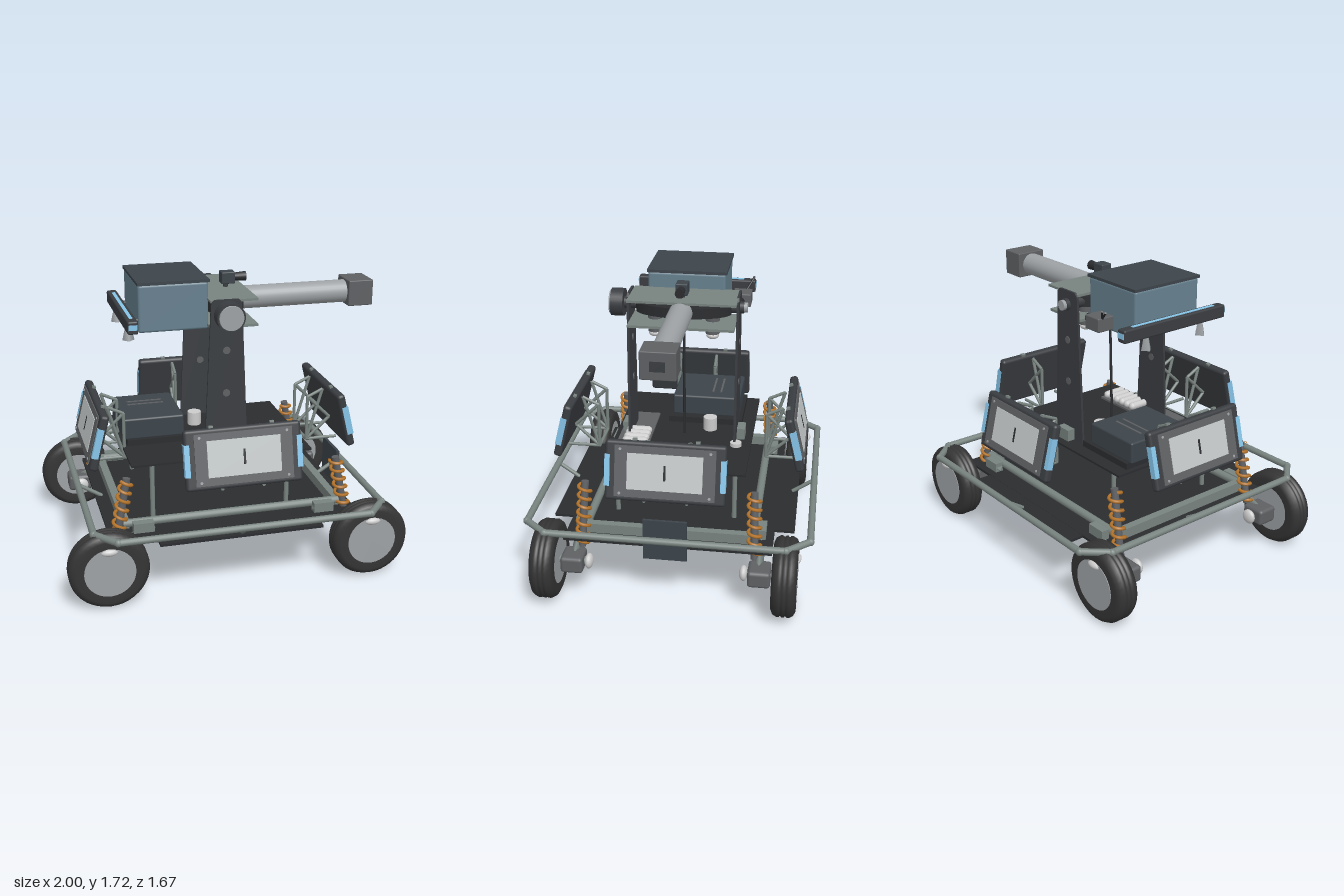
import * as THREE from 'three';
import { RoundedBoxGeometry } from 'three/addons/geometries/RoundedBoxGeometry.js';

const mat = (color) => new THREE.MeshStandardMaterial({ color });
const M = {
  black: mat(0x2b2c2f), dark: mat(0x3a3d41), slate: mat(0x3c444a), grey: mat(0x5e6063),
  steel: mat(0x78837f), silver: mat(0x9da1a4), white: mat(0xd0d0cc), screen: mat(0xc3c8c8),
  blue: mat(0x66808e), cyan: mat(0x86c4e8), copper: mat(0xb5742a), tyre: mat(0x343434),
};
const V = (x, y, z) => new THREE.Vector3(x, y, z);

function add(parent, name, geo, material, x = 0, y = 0, z = 0) {
  const m = new THREE.Mesh(geo, material);
  m.name = name;
  m.position.set(x, y, z);
  parent.add(m);
  return m;
}
// Box given by its low and high corners
function box(parent, name, material, [x0, x1], [y0, y1], [z0, z1], round = 0) {
  const s = [x1 - x0, y1 - y0, z1 - z0];
  const geo = round ? new RoundedBoxGeometry(...s, 2, round) : new THREE.BoxGeometry(...s);
  return add(parent, name, geo, material, (x0 + x1) / 2, (y0 + y1) / 2, (z0 + z1) / 2);
}
// Straight cylinder between two points
function rod(parent, name, material, a, b, r, r2 = r, sides = 14) {
  const d = b.clone().sub(a);
  const m = add(parent, name, new THREE.CylinderGeometry(r2, r, d.length(), sides), material);
  m.position.copy(a).add(b).multiplyScalar(0.5);
  m.quaternion.setFromUnitVectors(V(0, 1, 0), d.normalize());
  return m;
}

function makeWheel() {
  const g = new THREE.Group();
  g.name = 'wheel';
  const p = [[0.13, -0.065], [0.19, -0.07], [0.215, -0.058], [0.228, -0.035], [0.228, -0.022], [0.222, -0.018],
    [0.222, -0.01], [0.228, -0.006], [0.228, 0.006], [0.222, 0.01], [0.222, 0.018], [0.228, 0.022],
    [0.228, 0.035], [0.215, 0.058], [0.19, 0.07], [0.13, 0.065]].map((q) => new THREE.Vector2(...q));
  add(g, 'tyre', new THREE.LatheGeometry(p, 40), M.tyre).rotation.x = Math.PI / 2;
  rod(g, 'hub', M.silver, V(0, 0, -0.066), V(0, 0, 0.07), 0.145, 0.145, 32);
  // Drive motor with a pale end cap on the inner side
  box(g, 'motor', M.grey, [-0.075, 0.075], [-0.05, 0.05], [-0.21, -0.08], 0.02);
  rod(g, 'axle', M.steel, V(0, 0, -0.24), V(0, 0, -0.06), 0.025);
  const cap = new THREE.SphereGeometry(0.045, 16, 10);
  add(g, 'motorCap', cap, M.white, 0, 0, -0.235).scale.z = 0.55;
  add(g, 'hubKnob', cap, M.white, 0, 0.125, 0.06).scale.set(1.1, 0.5, 0.6);
  return g;
}

// Spring coil wound around a damper
function makeSpring(a, b) {
  const g = new THREE.Group();
  g.name = 'suspensionSpring';
  rod(g, 'damper', M.grey, a, b, 0.022);
  const len = a.distanceTo(b), pts = [];
  for (let i = 0; i <= 112; i++) {
    const t = i / 112, w = t * 7 * Math.PI * 2;
    pts.push(V(0.036 * Math.cos(w), (t - 0.5) * len * 0.92, 0.036 * Math.sin(w)));
  }
  const coil = add(g, 'coil', new THREE.TubeGeometry(new THREE.CatmullRomCurve3(pts), 168, 0.01, 6), M.copper);
  coil.position.copy(a).add(b).multiplyScalar(0.5);
  coil.quaternion.setFromUnitVectors(V(0, 1, 0), b.clone().sub(a).normalize());
  return g;
}

// Tilted display facing +z, with its truss bracket behind
function makeDisplay() {
  const g = new THREE.Group();
  g.name = 'displayPanel';
  const p = new THREE.Group();
  p.name = 'display';
  p.position.y = 0.825;
  p.rotation.x = -0.245;
  g.add(p);
  box(p, 'casing', M.dark, [-0.335, 0.335], [-0.17, 0.17], [-0.025, 0.025], 0.018);
  box(p, 'bezel', M.grey, [-0.28, 0.28], [-0.145, 0.145], [0.02, 0.031]);
  box(p, 'screen', M.screen, [-0.21, 0.21], [-0.1, 0.105], [0.025, 0.035]);
  box(p, 'screenMark', M.black, [-0.006, 0.006], [-0.04, 0.045], [0.03, 0.038]);
  for (const s of [-1, 1]) {
    box(p, 'lightStrip', M.cyan, [s * 0.322 - 0.015, s * 0.322 + 0.015], [-0.09, 0.09], [-0.01, 0.028]);
    box(p, 'topLatch', M.steel, [s * 0.175 - 0.012, s * 0.175 + 0.012], [0.15, 0.182], [-0.015, 0.005]);
    for (const t of [-1, 1]) rod(p, 'screw', M.silver, V(s * 0.25, t * 0.125, 0.028), V(s * 0.25, t * 0.125, 0.034), 0.008);
    const x = s * 0.12, k = [V(x, 0.645, 0.02), V(x, 0.645, -0.175), V(x, 0.92, -0.175), V(x, 0.965, -0.08), V(x, 0.78, -0.03)];
    for (const [i, j] of [[0, 1], [1, 2], [2, 3], [1, 3], [2, 4], [1, 4]]) rod(g, 'bracketBar', M.steel, k[i], k[j], 0.01, 0.01, 8);
  }
  rod(g, 'bracketCrossbar', M.steel, V(-0.12, 0.645, -0.175), V(0.12, 0.645, -0.175), 0.01, 0.01, 8);
  return g;
}

export function createModel() {
  const root = new THREE.Group();
  root.name = 'rover';

  // Chassis plate and inner frame
  box(root, 'chassisPlate', M.black, [-0.74, 0.74], [0.337, 0.352], [-0.6, 0.6]);
  box(root, 'chassisPlateEnds', M.black, [-0.48, 0.48], [0.336, 0.351], [-0.715, 0.715]);
  for (const s of [-1, 1]) {
    rod(root, 'innerRail', M.steel, V(-0.65, 0.39, s * 0.485), V(0.65, 0.39, s * 0.485), 0.024);
    box(root, 'sideBeam', M.steel, [s * 0.637 - 0.023, s * 0.637 + 0.023], [0.35, 0.41], [-0.48, 0.48]);
    rod(root, 'bumperStay', M.steel, V(0, 0.44, s * 0.81), V(0, 0.35, s * 0.68), 0.012);
    rod(root, 'bumperStay', M.steel, V(s * 0.845, 0.44, 0), V(s * 0.7, 0.35, 0), 0.012);
  }

  // Bumper ring with cut corners
  const ring = [[-0.73, 0.81], [0.73, 0.81], [0.845, 0.68], [0.845, -0.68], [0.73, -0.81], [-0.73, -0.81], [-0.845, -0.68], [-0.845, 0.68]]
    .map(([x, z]) => V(x, 0.442, z));
  ring.forEach((a, i) => {
    rod(root, 'bumperRail', M.steel, a, ring[(i + 1) % 8], 0.02);
    add(root, 'bumperJoint', new THREE.SphereGeometry(0.023, 12, 8), M.steel, a.x, a.y, a.z);
  });

  // Wheels, springs and suspension arms at the four corners
  for (const sx of [-1, 1]) for (const sz of [-1, 1]) {
    const w = makeWheel();
    w.position.set(sx * 0.77, 0.23, sz * 0.68);
    if (sz < 0) w.rotation.y = Math.PI;
    root.add(w, makeSpring(V(sx * 0.622, 0.67, sz * 0.485), V(sx * 0.695, 0.28, sz * 0.5)));
    rod(root, 'suspensionArm', M.steel, V(sx * 0.75, 0.26, sz * 0.53), V(sx * 0.48, 0.385, sz * 0.53), 0.025, 0.025, 4);
    box(root, 'armMount', M.steel, [sx * 0.54 - 0.06, sx * 0.54 + 0.06], [0.35, 0.41], [sz * 0.53 - 0.025, sz * 0.53 + 0.025]);
    rod(root, 'deckLeg', M.steel, V(sx * 0.41 - 0.04, 0.35, sz * 0.35), V(sx * 0.41 - 0.04, 0.7, sz * 0.35), 0.014);
  }

  // Displays on all four sides
  for (let i = 0; i < 4; i++) {
    const d = makeDisplay(), a = i * Math.PI / 2, r = i % 2 ? 0.745 : 0.685;
    d.rotation.y = a;
    d.position.set(Math.sin(a) * r, 0, Math.cos(a) * r);
    root.add(d);
  }

  // Raised deck and its equipment
  box(root, 'deck', M.black, [-0.58, 0.5], [0.696, 0.708], [-0.42, 0.415]);
  box(root, 'equipmentBox', M.slate, [-0.57, -0.2], [0.74, 0.87], [-0.32, 0.1], 0.012);
  box(root, 'equipmentBase', M.black, [-0.55, -0.15], [0.705, 0.745], [-0.34, 0.12]);
  for (const z of [-0.2, -0.15]) box(root, 'ventSlot', M.grey, [-0.5, -0.28], [0.868, 0.874], [z, z + 0.012]);
  box(root, 'rollTray', M.grey, [-0.24, 0.35], [0.708, 0.72], [0.19, 0.385]);
  for (let i = 0; i < 6; i++) {
    const x = 0.06 + i * 0.05;
    add(root, 'canister', new THREE.CapsuleGeometry(0.023, 0.11, 4, 12), M.white, x, 0.742, 0.27).rotation.x = Math.PI / 2;
  }
  rod(root, 'deckKnob', M.white, V(-0.08, 0.7, -0.15), V(-0.08, 0.79, -0.15), 0.042);
  rod(root, 'deckCap', M.white, V(0.13, 0.7, -0.33), V(0.13, 0.73, -0.33), 0.035);

  // Side battery plate and low sensor pad
  box(root, 'sidePlate', M.slate, [0.775, 0.793], [0.29, 0.54], [-0.125, 0.125]);
  box(root, 'sensorPad', M.dark, [0.08, 0.25], [0.183, 0.2], [-0.062, 0.062]);

  // Tower plates with bosses
  const plate = new THREE.Shape([[-0.13, 0.7], [0.13, 0.7], [0.09, 1.6], [0.07, 1.62], [-0.07, 1.62], [-0.09, 1.6]].map((q) => new THREE.Vector2(...q)));
  for (const s of [-1, 1]) {
    add(root, 'towerPlate', new THREE.ExtrudeGeometry(plate, { depth: 0.014, bevelEnabled: false }), M.dark, 0, 0, s * 0.32 - 0.007);
    for (const y of [1.07, 1.325]) rod(root, 'towerBoss', M.grey, V(0, y, s * 0.32 - 0.01), V(0, y, s * 0.32 + 0.01), 0.022);
    box(root, 'towerFoot', M.steel, [-0.05, 0.05], [0.71, 0.78], [s * 0.35 - 0.025, s * 0.35 + 0.025]);
    // Hanging motors under the cradle
    rod(root, 'cradleMotor', M.grey, V(0.03, 1.385, s * 0.17), V(0.03, 1.5, s * 0.17), 0.042);
    add(root, 'cradleMotorCap', new THREE.SphereGeometry(0.038, 14, 10), M.white, 0.03, 1.372, s * 0.17).scale.y = 0.6;
  }
  rod(root, 'cable', M.black, V(0.02, 1.45, 0), V(0, 0.7, 0), 0.008);

  // Tilting cradle
  box(root, 'cradleTop', M.steel, [-0.09, 0.19], [1.6, 1.614], [-0.32, 0.31]);
  box(root, 'cradleBottom', M.steel, [-0.09, 0.19], [1.45, 1.465], [-0.31, 0.31]);
  add(root, 'turntable', new THREE.CylinderGeometry(0.28, 0.28, 0.06, 36), M.black, 0.04, 1.54, 0).scale.x = 0.45;
  rod(root, 'trunnion', M.dark, V(0, 1.54, -0.35), V(0, 1.54, 0.37), 0.035);
  rod(root, 'trunnionWheel', M.dark, V(0, 1.54, 0.355), V(0, 1.54, 0.43), 0.082, 0.082, 28);
  rod(root, 'trunnionCap', M.silver, V(0, 1.54, 0.42), V(0, 1.54, 0.44), 0.074, 0.07, 28);
  rod(root, 'rearTrunnionCap', M.silver, V(0, 1.54, -0.37), V(0, 1.54, -0.32), 0.03);

  // Head box with lid
  box(root, 'headBox', M.blue, [-0.485, -0.08], [1.43, 1.705], [-0.23, 0.23], 0.015);
  box(root, 'headLid', M.slate, [-0.49, -0.075], [1.703, 1.72], [-0.238, 0.235]);

  // Long barrel and square end housing
  rod(root, 'barrelMount', M.black, V(0.07, 1.543, 0), V(0.17, 1.543, 0), 0.035);
  rod(root, 'barrel', M.silver, V(0.158, 1.543, 0), V(0.83, 1.543, 0), 0.068, 0.068, 28);
  box(root, 'endHousing', M.grey, [0.82, 0.973], [1.467, 1.622], [-0.097, 0.093], 0.006);
  box(root, 'endWindow', M.dark, [0.96, 0.976], [1.515, 1.57], [-0.04, 0.04]);

  // Light bar with its feet
  box(root, 'lightBar', M.dark, [-0.57, -0.51], [1.465, 1.54], [-0.375, 0.365], 0.01);
  box(root, 'lightBarStripTop', M.cyan, [-0.55, -0.53], [1.53, 1.543], [-0.3, 0.3]);
  box(root, 'lightBarEnd', M.cyan, [-0.565, -0.515], [1.49, 1.52], [-0.378, 0.368]);
  for (const z of [-0.2, 0.2]) {
    rod(root, 'lightBarFoot', M.silver, V(-0.54, 1.39, z), V(-0.54, 1.47, z), 0.035, 0.016, 4);
    rod(root, 'lightBarArm', M.dark, V(-0.52, 1.5, z), V(-0.47, 1.5, z), 0.014);
  }

  // Top camera, and side camera with aerials
  box(root, 'topCamera', M.slate, [0.048, 0.13], [1.635, 1.705], [-0.035, 0.035], 0.006);
  rod(root, 'topCameraLens', M.black, V(0.12, 1.67, 0), V(0.2, 1.67, 0), 0.022, 0.028);
  rod(root, 'topCameraStem', M.dark, V(0.08, 1.6, 0), V(0.08, 1.64, 0), 0.015);
  box(root, 'sideCamera', M.grey, [-0.34, -0.22], [1.465, 1.545], [-0.37, -0.26], 0.006);
  rod(root, 'sideCameraLens', M.black, V(-0.23, 1.505, -0.31), V(-0.175, 1.505, -0.31), 0.02, 0.026);
  rod(root, 'sideCameraArm', M.dark, V(-0.28, 1.5, -0.27), V(-0.28, 1.5, -0.22), 0.018);
  for (const x of [-0.33, -0.36]) rod(root, 'aerial', M.black, V(-0.32, 1.53, -0.33), V(x - 0.05, 1.6, -0.375), 0.006, 0.006, 8);
  return root;
}
